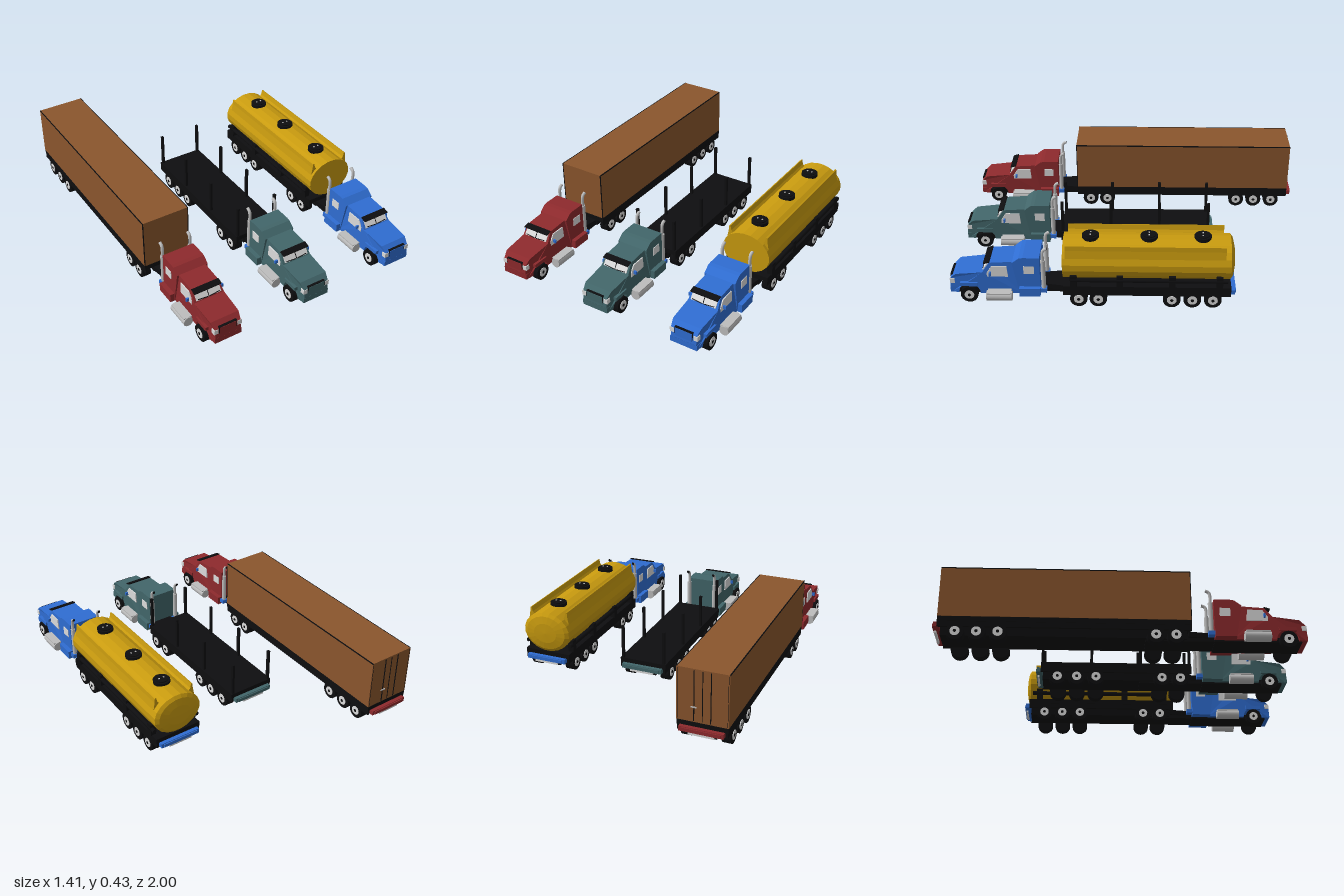
import * as THREE from 'three';

const mat = (name, color) => {
  const m = new THREE.MeshStandardMaterial({ color });
  m.name = name;
  return m;
};
const RED = mat('red paint', 0x8e2a2d), TEAL = mat('teal paint', 0x42666a), BLUE = mat('blue paint', 0x2f6dd2);
const BROWN = mat('brown cargo', 0x8b562d), GOLD = mat('gold tank', 0xc99b0f);
const BLACK = mat('black', 0x0e0e10), SILVER = mat('silver', 0xbdbdbd), GLASS = mat('pale glass', 0xdcdcdc);

function add(g, name, geo, material, x = 0, y = 0, z = 0) {
  const m = new THREE.Mesh(geo, material);
  m.name = name;
  m.position.set(x, y, z);
  g.add(m);
  return m;
}
// Box given by its limits on each axis
function block(g, name, material, x0, x1, y0, y1, z0, z1) {
  return add(g, name, new THREE.BoxGeometry(x1 - x0, y1 - y0, z1 - z0), material,
    (x0 + x1) / 2, (y0 + y1) / 2, (z0 + z1) / 2);
}
// Side profile given as z,y points, extruded to half width w
function sideExtrude(shape, w) {
  const geo = new THREE.ExtrudeGeometry(shape, { depth: 2 * w, bevelEnabled: false, curveSegments: 8 });
  return geo.translate(0, 0, -w).rotateY(-Math.PI / 2);
}
const shapeOf = pts => new THREE.Shape(pts.map(p => new THREE.Vector2(p[0], p[1])));
const rod = (r, len, n = 16) => new THREE.CylinderGeometry(r, r, len, n);

function wheelPair(g, name, z, x, width) {
  for (const s of [-1, 1]) {
    const w = new THREE.Group();
    w.name = name;
    w.position.set(s * x, 0.048, z);
    g.add(w);
    add(w, 'tyre', rod(0.048, width, 20).rotateZ(Math.PI / 2), BLACK);
    add(w, 'rim', rod(0.027, 0.006, 14).rotateZ(Math.PI / 2), GLASS, s * width / 2);
    add(w, 'hub', rod(0.009, 0.006, 8).rotateZ(Math.PI / 2), BLACK, s * (width / 2 + 0.002));
  }
}

function tractor(paint, driveZ) {
  const g = new THREE.Group();
  g.name = 'tractor';
  // Hood and cab with the front wheel arch
  const body = shapeOf([[0.6, 0.05], [0.833, 0.05]]);
  body.absarc(0.893, 0.05, 0.06, Math.PI, 0, true);
  [[0.995, 0.05], [1, 0.085], [0.995, 0.14], [0.963, 0.17], [0.815, 0.186], [0.775, 0.243], [0.6, 0.254]]
    .forEach(p => body.lineTo(p[0], p[1]));
  const bodyGeo = sideExtrude(body, 0.09);
  const p = bodyGeo.attributes.position;
  for (let i = 0; i < p.count; i++) { // narrower nose and windscreen top
    const nose = Math.max(0, p.getZ(i) - 0.94) * 0.22 / 0.06;
    const top = p.getY(i) > 0.23 ? 0.1 : 0;
    p.setX(i, p.getX(i) * (1 - nose * 0.7 - top));
  }
  bodyGeo.computeVertexNormals();
  add(g, 'cab', bodyGeo, paint);
  add(g, 'sleeper', sideExtrude(shapeOf([[0.5, 0.05], [0.615, 0.05], [0.65, 0.25], [0.612, 0.28], [0.59, 0.284], [0.5, 0.284]]), 0.094), paint);
  block(g, 'chassis', BLACK, -0.06, 0.06, 0.045, 0.09, 0.13, 0.5);
  block(g, 'underbody', BLACK, -0.07, 0.07, 0.042, 0.07, 0.5, 0.97);
  add(g, 'coupling frame', new THREE.ExtrudeGeometry(shapeOf([[-0.055, -0.5], [0.055, -0.5], [0.078, -0.36], [-0.078, -0.36]]),
    { depth: 0.03, bevelEnabled: false }).rotateX(-Math.PI / 2).scale(1, 1, 1), BLACK, 0, 0.065, 0);
  // Rotation maps the frame outline to the rear, so mirror it forward
  const frame = g.children[g.children.length - 1];
  frame.geometry.rotateY(0);

  // Front glass, visor, grille and bumper
  add(g, 'windscreen', new THREE.BoxGeometry(0.15, 0.05, 0.006), GLASS, 0, 0.213, 0.798).rotation.x = -0.62;
  add(g, 'windscreen divider', new THREE.BoxGeometry(0.004, 0.05, 0.008), BLACK, 0, 0.213, 0.798).rotation.x = -0.62;
  for (const s of [-1, 1]) {
    const wiper = add(g, 'wiper', new THREE.BoxGeometry(0.06, 0.004, 0.008), BLACK, s * 0.036, 0.196, 0.812);
    wiper.rotation.set(-0.62, 0, s * 0.08);
  }
  add(g, 'sun visor', new THREE.BoxGeometry(0.164, 0.006, 0.035), BLACK, 0, 0.242, 0.79).rotation.x = 0.3;
  block(g, 'grille frame', BLACK, -0.054, 0.054, 0.094, 0.15, 0.985, 0.998);
  block(g, 'grille', paint, -0.05, 0.05, 0.098, 0.146, 0.985, 1);
  block(g, 'bumper', paint, -0.08, 0.08, 0.05, 0.082, 0.96, 1);

  for (const s of [-1, 1]) {
    const lx = (a, b) => [Math.min(s * a, s * b), Math.max(s * a, s * b)];
    block(g, 'headlight', GLASS, ...lx(0.058, 0.083), 0.11, 0.138, 0.972, 0.998);
    block(g, 'fender', paint, ...lx(0.07, 0.1), 0.1, 0.122, 0.845, 0.94);
    // Side glass
    const win = sideExtrude(shapeOf([[0.675, 0.16], [0.79, 0.16], [0.79, 0.185], [0.762, 0.226], [0.68, 0.226]]), 0.003);
    add(g, 'door window', win, GLASS, s * 0.0885);
    block(g, 'sleeper window', GLASS, ...lx(0.09, 0.097), 0.183, 0.232, 0.53, 0.588);
    block(g, 'side fairing', paint, ...lx(0.085, 0.12), 0.05, 0.1, 0.5, 0.615);
    block(g, 'mirror', BLUE, ...lx(0.096, 0.113), 0.176, 0.195, 0.765, 0.775);
    // Fuel tank and exhaust stack
    add(g, 'fuel tank', rod(0.028, 0.14, 18).rotateX(Math.PI / 2), SILVER, s * 0.115, 0.052, 0.725);
    block(g, 'fuel tank step', SILVER, ...lx(0.07, 0.14), 0.072, 0.08, 0.66, 0.79);
    add(g, 'exhaust', rod(0.013, 0.18, 12), SILVER, s * 0.085, 0.175, 0.482);
    block(g, 'exhaust mount', BLUE, ...lx(0.068, 0.105), 0.066, 0.09, 0.465, 0.5);
    const path = new THREE.CatmullRomCurve3([[0.26, 0.482], [0.31, 0.482], [0.33, 0.476], [0.34, 0.458]]
      .map(q => new THREE.Vector3(s * 0.085, q[0], q[1])));
    add(g, 'exhaust tip', new THREE.TubeGeometry(path, 10, 0.009, 10), SILVER);
    add(g, 'exhaust tip end', new THREE.CircleGeometry(0.009, 10).rotateY(Math.PI), BLACK, s * 0.085, 0.34, 0.4575);
  }
  wheelPair(g, 'front wheel', 0.893, 0.087, 0.036);
  driveZ.forEach(z => wheelPair(g, 'drive wheel', z, 0.11, 0.048));
  return g;
}

// Deck, beams, rear axles and bumper shared by the trailers
function trailerBase(paint, z0, z1) {
  const g = new THREE.Group();
  g.name = 'trailer';
  block(g, 'deck', BLACK, -0.138, 0.138, 0.105, 0.133, z1, z0);
  block(g, 'main beam', BLACK, -0.075, 0.075, 0.052, 0.11, z1 + 0.01, z0 - 0.02);
  for (const s of [-1, 1]) block(g, 'side rail', BLACK, s * 0.13 - 0.006, s * 0.13 + 0.006, 0.075, 0.11, z1, z0);
  for (let i = 0; i < 3; i++) wheelPair(g, 'trailer wheel', z1 + 0.097 + i * 0.112, 0.11, 0.05);
  const bar = shapeOf([[-0.12, 0], [0.12, 0], [0.12, 0.016], [0.108, 0.03], [-0.108, 0.03], [-0.12, 0.016]]);
  add(g, 'rear bumper', new THREE.ExtrudeGeometry(bar, { depth: 0.028, bevelEnabled: false })
    .rotateX(Math.PI / 2), paint, 0, 0.107, 0).scale.z = -1;
  const bumper = g.children.pop();
  g.remove(bumper);
  block(g, 'rear bumper', paint, -0.12, 0.12, 0.08, 0.107, z1 - 0.022, z1 + 0.01);
  block(g, 'rear bumper lip', paint, -0.105, 0.105, 0.084, 0.103, z1 - 0.028, z1 - 0.022);
  block(g, 'rear light bar', GLASS, -0.07, 0.07, 0.068, 0.08, z1 - 0.022, z1 - 0.01);
  return g;
}

function boxTrailer() {
  const z0 = 0.373, z1 = -0.971, g = trailerBase(RED, z0, z1);
  block(g, 'cargo box', BROWN, -0.14, 0.14, 0.133, 0.427, z1, z0);
  // Thin dark trims on the front corners and rear doors
  for (const s of [-1, 1]) {
    block(g, 'front corner trim', BLACK, s * 0.138 - 0.0025, s * 0.138 + 0.0025, 0.133, 0.427, z0 - 0.003, z0 + 0.001);
    block(g, 'roof trim', BLACK, s * 0.1385 - 0.002, s * 0.1385 + 0.002, 0.422, 0.428, z1, z0);
    block(g, 'door lock rod', BLACK, s * 0.045 - 0.002, s * 0.045 + 0.002, 0.14, 0.42, z1 - 0.004, z1);
    block(g, 'door edge', BLACK, s * 0.134 - 0.001, s * 0.134 + 0.001, 0.14, 0.42, z1 - 0.001, z1);
  }
  block(g, 'door seam', BLACK, -0.002, 0.002, 0.14, 0.42, z1 - 0.002, z1);
  block(g, 'door handle', SILVER, 0.03, 0.06, 0.215, 0.222, z1 - 0.007, z1 - 0.003);
  return g;
}

function flatTrailer() {
  const z0 = 0.43, z1 = -0.447, g = trailerBase(TEAL, z0, z1);
  for (const s of [-1, 1]) for (let i = 0; i < 4; i++) {
    const z = z0 - 0.01 - i * (z0 - z1 - 0.02) / 3;
    block(g, 'stake', BLACK, s * 0.124 - 0.007, s * 0.124 + 0.007, 0.1, 0.327, z - 0.008, z + 0.008);
  }
  return g;
}

function tankTrailer() {
  const z0 = 0.373, z1 = -0.54, g = trailerBase(BLUE, z0, z1);
  // Elliptical barrel with a shallow domed rear
  const profile = [[0, z1 - 0.02], [0.5, z1 - 0.017], [0.85, z1 - 0.008], [1, z1 + 0.005], [1, z0], [0, z0]]
    .map(q => new THREE.Vector2(q[0], q[1]));
  const barrel = new THREE.LatheGeometry(profile, 20, Math.PI / 20).rotateX(Math.PI / 2).scale(0.143, 0.118, 1).toNonIndexed();
  barrel.computeVertexNormals();
  add(g, 'tank', barrel, GOLD, 0, 0.252, 0);
  for (const s of [-1, 1]) {
    // Spill rails along the top
    const rail = shapeOf([[0.09, 0.335], [0.103, 0.352], [0.11, 0.38], [0.118, 0.377], [0.12, 0.35], [0.128, 0.305]]
      .map(q => [q[0] * s, q[1]]));
    add(g, 'spill rail', new THREE.ExtrudeGeometry(rail, { depth: 0.862, bevelEnabled: false }), GOLD, 0, 0, -0.505);
    // Hose tubes and their brackets
    add(g, 'hose tube', rod(0.012, 0.85, 12).rotateX(Math.PI / 2), BLACK, s * 0.135, 0.175, -0.095);
    for (const z of [0.315, 0.064, -0.22, -0.476])
      block(g, 'tube bracket', BLACK, s * 0.128 - 0.016, s * 0.128 + 0.016, 0.13, 0.202, z - 0.018, z + 0.018);
  }
  for (const z of [-0.384, -0.093, 0.225]) {
    add(g, 'hatch', rod(0.047, 0.02, 20), BLACK, 0, 0.373, z);
    add(g, 'hatch lid', rod(0.036, 0.008, 20), BLACK, 0, 0.385, z);
    for (const s of [-1, 1]) block(g, 'hatch bolt', SILVER, s * 0.014 - 0.004, s * 0.014 + 0.004, 0.387, 0.392, z - 0.004, z + 0.004);
  }
  return g;
}

export function createModel() {
  const root = new THREE.Group();
  root.name = 'three trucks';
  const rigs = [
    ['box truck', RED, boxTrailer, [0.289, 0.182], -0.563],
    ['stake truck', TEAL, flatTrailer, [0.365, 0.258], -0.005],
    ['tank truck', BLUE, tankTrailer, [0.289, 0.182], 0.555],
  ];
  for (const [name, paint, trailer, driveZ, x] of rigs) {
    const rig = new THREE.Group();
    rig.name = name;
    rig.position.x = x;
    rig.add(tractor(paint, driveZ), trailer());
    root.add(rig);
  }
  return root;
}
